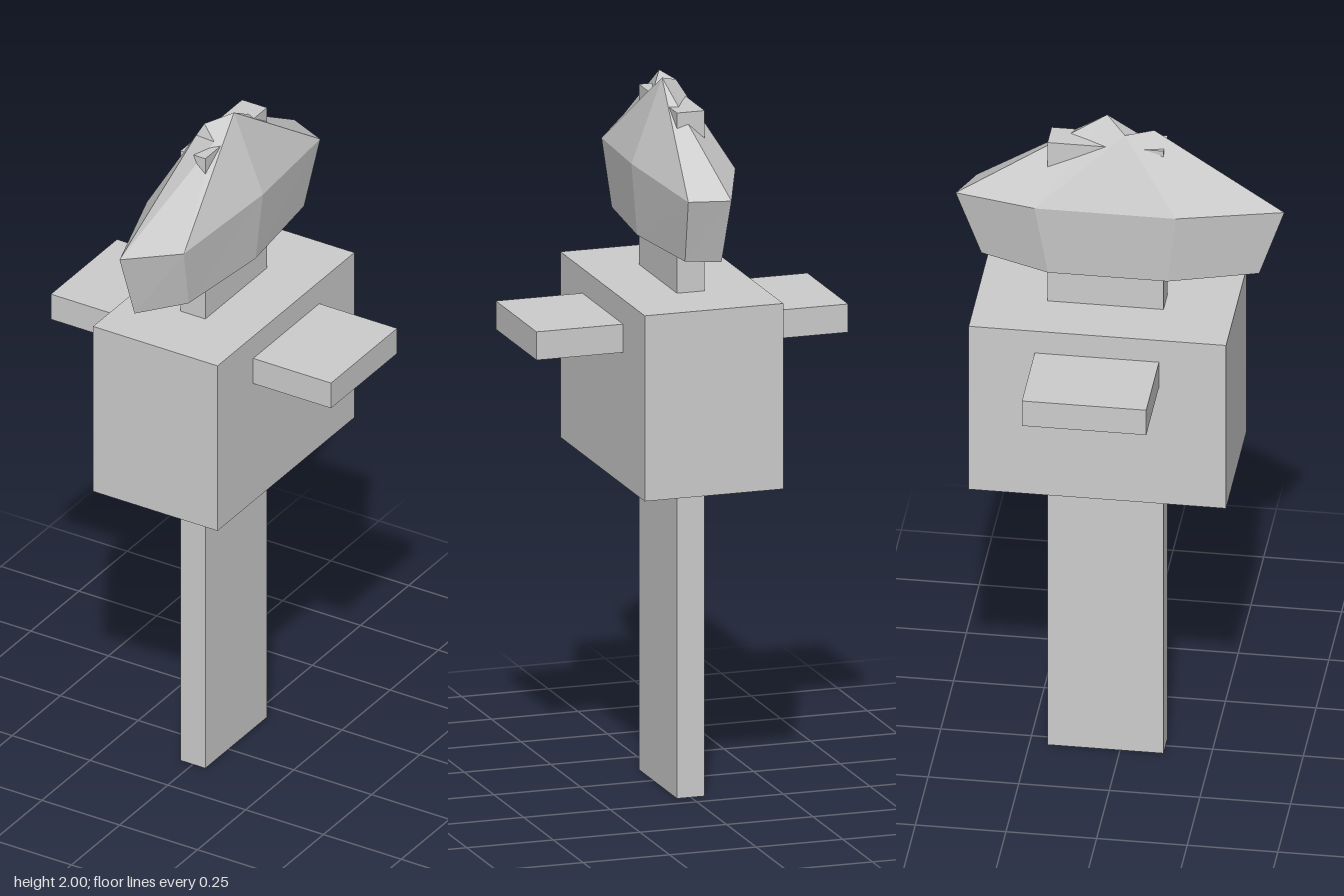
import * as THREE from 'three';

export function createModel() {
  const model = new THREE.Group();
  const grey = new THREE.MeshStandardMaterial({ color: 0xcccccc, flatShading: true });
  grey.name = 'light grey';

  // box given by its minimum and maximum corners
  function box(name, [x0, y0, z0], [x1, y1, z1]) {
    const mesh = new THREE.Mesh(new THREE.BoxGeometry(x1 - x0, y1 - y0, z1 - z0), grey);
    mesh.position.set((x0 + x1) / 2, (y0 + y1) / 2, (z0 + z1) / 2);
    mesh.name = name;
    model.add(mesh);
  }

  // post running through the body into the head, body block and two arms
  box('post', [-0.04, 0, -0.2], [0.04, 1.94, 0.12]);
  box('body', [-0.2, 0.905, -0.395], [0.2, 1.43, 0.315]);
  box('leftArm', [0.2, 1.28, -0.213], [0.45, 1.36, 0.13]);
  box('rightArm', [-0.45, 1.28, -0.213], [-0.2, 1.36, 0.13]);

  // faceted head: seven-sided rim, narrower flat base, crumpled crown
  const rim = [
    [-0.03, 1.75, -0.455], [0.08, 1.745, -0.412], [0.12, 1.765, -0.05], [0.085, 1.745, 0.305],
    [-0.03, 1.765, 0.452], [-0.12, 1.775, 0.165], [-0.12, 1.775, -0.225],
  ];
  const base = rim.map(([x, , z]) => [x * 0.845, 1.56, z * 0.845]);
  const peak = [0.03, 2, -0.045], notch = [0.022, 1.95, 0.045];
  const frontPeak = [-0.008, 1.985, 0.09], ridge = [-0.03, 1.975, 0.012];
  const crown = [peak, peak, peak, notch, frontPeak, ridge, peak];

  const points = [];
  const tri = (a, b, c) => points.push(...a, ...b, ...c);
  for (let i = 0; i < 7; i++) {
    const j = (i + 1) % 7;
    // lower wall
    tri(base[j], base[i], rim[i]);
    tri(base[j], rim[i], rim[j]);
    // sloping roof
    tri(rim[j], rim[i], crown[i]);
    if (crown[i] !== crown[j]) tri(rim[j], crown[i], crown[j]);
    // underside
    if (i > 0 && i < 6) tri(base[0], base[i], base[j]);
  }
  tri(peak, ridge, notch);
  tri(ridge, frontPeak, notch);

  const geometry = new THREE.BufferGeometry();
  geometry.setAttribute('position', new THREE.Float32BufferAttribute(points, 3));
  geometry.computeVertexNormals();
  const head = new THREE.Mesh(geometry, grey);
  head.name = 'head';
  model.add(head);

  return model;
}
